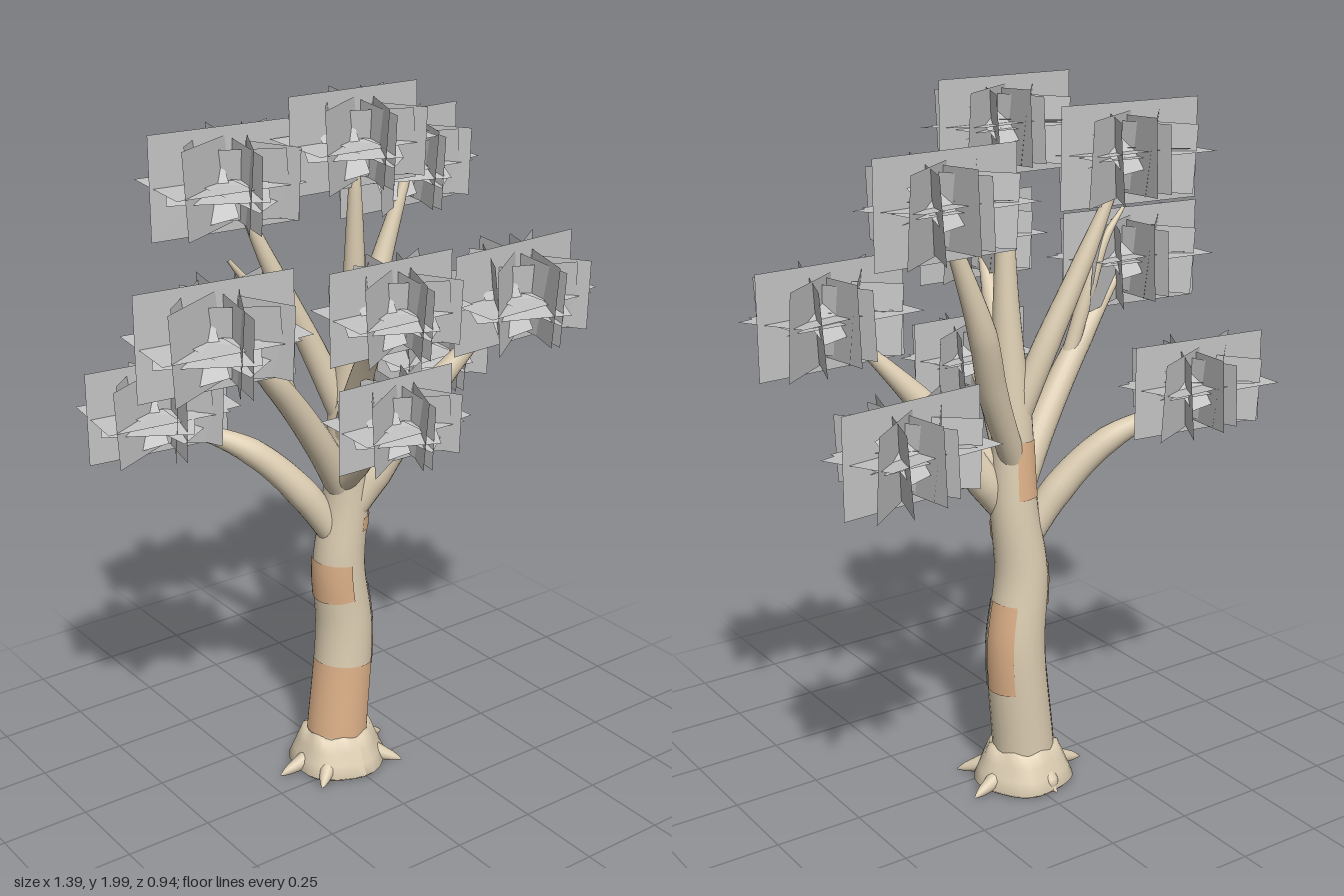
import * as THREE from 'three';

const mat = (name, color, side = THREE.FrontSide) => {
  const m = new THREE.MeshStandardMaterial({ color, side });
  m.name = name;
  return m;
};
const V = (x, y, z) => new THREE.Vector3(x, y, z);
const rad = THREE.MathUtils.degToRad;

// Tapered limb through stations [x, y, z, radius]; may cover only part of its length or girth
function limb(stations, { t0 = 0, t1 = 1, a0 = 0, a1 = 360, grow = 0, rings = 24, sides = 18 } = {}) {
  const curve = new THREE.CatmullRomCurve3(stations.map(s => V(s[0], s[1], s[2])));
  const closed = a1 - a0 >= 360, cols = closed ? sides : sides + 1;
  const pos = [], index = [];
  for (let i = 0; i <= rings; i++) {
    const t = t0 + (t1 - t0) * i / rings;
    const c = curve.getPoint(t), dir = curve.getTangent(t);
    const u = dir.clone().cross(V(0, 0, 1)).normalize(), v = u.clone().cross(dir);
    const k = Math.min(Math.floor(t * (stations.length - 1)), stations.length - 2);
    const r = THREE.MathUtils.lerp(stations[k][3], stations[k + 1][3], t * (stations.length - 1) - k) + grow;
    for (let j = 0; j < cols; j++) {
      const a = rad(a0 + (a1 - a0) * j / sides);
      const p = c.clone().addScaledVector(u, r * Math.cos(a)).addScaledVector(v, r * Math.sin(a));
      pos.push(p.x, p.y, p.z);
    }
  }
  for (let i = 0; i < rings; i++) for (let j = 0; j < sides; j++) {
    const a = i * cols + j, c = i * cols + (j + 1) % cols;
    index.push(a, a + cols, c, c, a + cols, c + cols);
  }
  const g = new THREE.BufferGeometry();
  g.setAttribute('position', new THREE.Float32BufferAttribute(pos, 3));
  g.setIndex(index);
  g.computeVertexNormals();
  return g;
}

const TRUNK = [
  [-0.015, 0.03, -0.062, 0.09], [-0.005, 0.14, -0.064, 0.088], [0.022, 0.44, -0.068, 0.083],
  [0.003, 0.65, -0.066, 0.075], [0.022, 0.85, -0.058, 0.066], [0.02, 1.1, -0.045, 0.055],
  [0.025, 1.4, -0.025, 0.036], [0.015, 1.79, -0.005, 0.012], [0.015, 1.8, -0.005, 0],
];

const BRANCHES = {
  lowLeftBranch: [[0.0, 0.72, -0.06, 0.038], [-0.1, 0.88, -0.09, 0.045], [-0.23, 1.02, -0.15, 0.037], [-0.42, 1.12, -0.25, 0.012]],
  midLeftBranch: [[0.0, 0.9, -0.05, 0.045], [-0.1, 1.06, -0.02, 0.042], [-0.26, 1.27, 0.02, 0.033], [-0.42, 1.43, 0.06, 0.01]],
  highLeftBranch: [[0.02, 1.08, -0.05, 0.04], [-0.07, 1.3, -0.08, 0.035], [-0.18, 1.53, -0.1, 0.026], [-0.28, 1.76, -0.12, 0.008]],
  leftTwig: [[-0.2, 1.2, 0.01, 0.022], [-0.27, 1.42, 0.0, 0.02], [-0.32, 1.54, 0.0, 0.013], [-0.38, 1.62, 0.0, 0.005]],
  lowFrontBranch: [[0.0, 0.9, -0.06, 0.04], [-0.01, 0.99, 0.04, 0.036], [-0.03, 1.1, 0.14, 0.03], [-0.04, 1.19, 0.26, 0.01]],
  midFrontBranch: [[0.01, 1.04, -0.04, 0.04], [-0.02, 1.2, 0.05, 0.035], [-0.06, 1.37, 0.17, 0.027], [-0.1, 1.5, 0.29, 0.008]],
  lowRightBranch: [[0.04, 0.95, -0.03, 0.033], [0.14, 1.02, 0.0, 0.036], [0.28, 1.06, -0.05, 0.032], [0.46, 1.13, -0.18, 0.01]],
  midRightBranch: [[0.01, 0.79, -0.04, 0.035], [0.09, 0.92, -0.02, 0.052], [0.23, 1.13, 0.03, 0.042], [0.42, 1.35, 0.1, 0.012]],
  highRightBranch: [[0.03, 0.98, -0.07, 0.035], [0.13, 1.2, -0.12, 0.04], [0.19, 1.38, -0.16, 0.038], [0.31, 1.7, -0.17, 0.014]],
};

// Bark patches: bottom, top, start angle, end angle (0 = +x, 90 = front)
const PATCHES = [
  [0.12, 0.345, 55, 200], [0.32, 0.57, -52, 12], [0.32, 0.57, 22, 30], [0.56, 0.67, 95, 212],
  [0.77, 0.81, 10, 75], [0.88, 1.04, 225, 290], [1.12, 1.25, 20, 85],
];

// Foliage clusters: x, y, z, scale, yaw in degrees
const CLUSTERS = [
  [0.01, 1.875, 0, 0.96, 0], [-0.305, 1.79, -0.12, 1.02, -4], [0.335, 1.735, -0.23, 1.02, 4],
  [-0.47, 1.46, 0.08, 1.05, -5], [-0.1, 1.52, 0.305, 0.9, 0], [0.47, 1.41, 0.115, 1.06, 4],
  [-0.45, 1.165, -0.26, 0.97, -6], [-0.04, 1.195, 0.25, 0.87, 0], [0.475, 1.155, -0.285, 1.0, 6],
];

// Leaf cards: offset x, y, z, pitch, yaw, roll, width, height
const CARDS = [
  [0, 0, 0, 0, 0, 0, 0.42, 0.265], [0.01, 0, 0, -3, 33, 0, 0.44, 0.22],
  [-0.02, 0, 0.01, -88, 0, 0, 0.36, 0.23], [0.09, 0.01, -0.01, -84, 8, 0, 0.2, 0.25],
  [0.05, 0, 0.01, 4, 66, 0, 0.35, 0.21], [-0.02, -0.01, 0.02, 4, -36, 3, 0.33, 0.18],
  [-0.06, 0.01, -0.02, -6, 52, -4, 0.3, 0.19], [-0.04, 0, 0.03, -78, -32, 5, 0.25, 0.23],
  [0.03, 0.02, -0.05, 50, 8, -6, 0.17, 0.14], [-0.06, -0.03, 0.04, -25, -20, 12, 0.1, 0.13],
  [0.03, -0.02, 0.05, -70, 40, 0, 0.22, 0.16], [0.02, 0, 0, 0, 86, 4, 0.34, 0.2],
  [0.05, 0, 0, -5, -62, 0, 0.33, 0.18],
];

export function createModel() {
  const tree = new THREE.Group();
  tree.name = 'tree';
  const bark = mat('pale bark', 0xdccdb2);
  const patchMat = mat('orange bark', 0xdcb088, THREE.DoubleSide);
  const leaf = mat('grey foliage', 0xc4c4c4, THREE.DoubleSide);
  const add = (name, geo, m, parent = tree) => {
    const mesh = new THREE.Mesh(geo, m);
    mesh.name = name;
    parent.add(mesh);
    return mesh;
  };

  add('trunk', limb(TRUNK, { rings: 56, sides: 24 }), bark);
  for (const [name, stations] of Object.entries(BRANCHES)) add(name, limb(stations), bark);

  // Bark patches hug the trunk
  const axis = new THREE.CatmullRomCurve3(TRUNK.map(s => V(s[0], s[1], s[2])));
  const tAt = y => {
    let lo = 0, hi = 1;
    for (let i = 0; i < 30; i++) {
      const m = (lo + hi) / 2;
      if (axis.getPoint(m).y < y) lo = m; else hi = m;
    }
    return lo;
  };
  for (const [y0, y1, a0, a1] of PATCHES)
    add('barkPatch', limb(TRUNK, { t0: tAt(y0), t1: tAt(y1), a0, a1, grow: 0.003, rings: 10, sides: 14 }), patchMat);
  add('branchPatch', limb(BRANCHES.highRightBranch,
    { t0: 0.55, t1: 0.66, a0: 90, a1: 190, grow: 0.002, rings: 6, sides: 10 }), patchMat);

  // Flared foot with a slightly ragged upper rim
  const profile = [[0, 0.01], [0.13, 0.01], [0.142, 0.022], [0.128, 0.055], [0.114, 0.09], [0.098, 0.124], [0.075, 0.127]];
  const flare = new THREE.LatheGeometry(profile.map(p => new THREE.Vector2(...p)), 30);
  const p = flare.attributes.position;
  for (let i = 0; i < p.count; i++) {
    const a = Math.atan2(p.getZ(i), p.getX(i)), s = 1 + 0.03 * Math.sin(5 * a + 1);
    p.setXYZ(i, p.getX(i) * s, p.getY(i) + (p.getY(i) > 0.1 ? 0.006 * Math.sin(7 * a) : 0), p.getZ(i) * s);
  }
  flare.computeVertexNormals();
  add('rootFlare', flare, bark).position.set(-0.008, 0, -0.06);

  // Pointed roots: angle and reach
  for (const [deg, reach] of [[-12, 0.195], [42, 0.19], [140, 0.18], [183, 0.197], [262, 0.145]]) {
    const c = Math.cos(rad(deg)), s = Math.sin(rad(deg));
    const at = (d, y, r) => [-0.008 + c * d, y, -0.06 + s * d, r];
    const root = limb([at(0.06, 0.07, 0.028), at(0.115, 0.042, 0.025), at(reach * 0.88, 0.024, 0.013), at(reach, 0.016, 0.002)],
      { rings: 8, sides: 10 });
    add('root', root, bark);
  }

  // Foliage made of crossed leaf cards
  for (const [x, y, z, scale, yaw] of CLUSTERS) {
    const cluster = new THREE.Group();
    cluster.name = 'foliageCluster';
    for (const [cx, cy, cz, pitch, turn, roll, w, h] of CARDS) {
      const card = add('leafCard', new THREE.PlaneGeometry(w, h), leaf, cluster);
      card.position.set(cx, cy, cz);
      card.rotation.set(rad(pitch), rad(turn), rad(roll), 'YXZ');
    }
    cluster.position.set(x, y, z);
    cluster.rotation.y = rad(yaw);
    cluster.scale.setScalar(scale);
    tree.add(cluster);
  }
  return tree;
}
